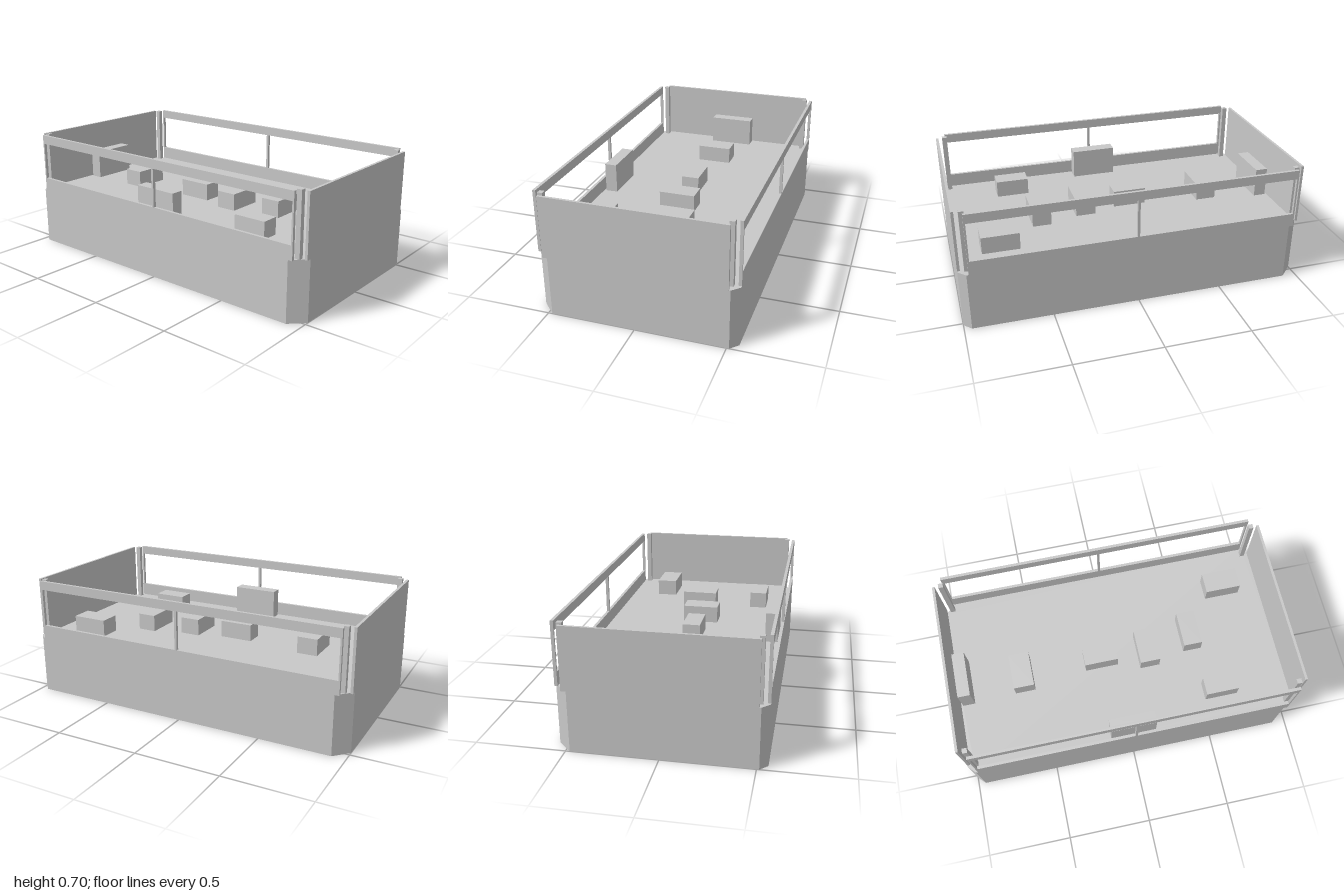
import * as THREE from 'three';

export function createModel() {
  const root = new THREE.Group();
  const grey = new THREE.MeshStandardMaterial({ color: 0xc8c8c8 });
  grey.name = 'lightGrey';

  const FLOOR = 0.345, TOP = 0.703, W = 0.557;

  function add(name, geometry) {
    const mesh = new THREE.Mesh(geometry, grey);
    mesh.name = name;
    root.add(mesh);
    return mesh;
  }

  // Box given by its limits on each axis
  function box(name, x0, x1, y0, y1, z0, z1) {
    const mesh = add(name, new THREE.BoxGeometry(x1 - x0, y1 - y0, z1 - z0));
    mesh.position.set((x0 + x1) / 2, (y0 + y1) / 2, (z0 + z1) / 2);
  }

  // Solid base: two small and two large corner chamfers, diagonally opposed
  const s = 0.043, b = 0.08;
  const outline = new THREE.Shape([
    [-W + b, -1], [W - s, -1], [W, -1 + s], [W, 1 - b],
    [W - b, 1], [-W + s, 1], [-W, 1 - s], [-W, -1 + b],
  ].map(([x, y]) => new THREE.Vector2(x, y)));
  const base = new THREE.ExtrudeGeometry(outline, { depth: FLOOR, bevelEnabled: false });
  base.rotateX(-Math.PI / 2);
  add('base', base);

  // End walls
  box('frontWall', -0.505, 0.505, FLOOR, 0.7, 0.985, 1);
  box('backWall', -0.505, 0.505, FLOOR, 0.7, -1, -0.985);

  // Side walls: a frame with two window openings split by a mullion
  const rect = (x0, x1, y0, y1) => [
    new THREE.Vector2(x0, y0), new THREE.Vector2(x1, y0),
    new THREE.Vector2(x1, y1), new THREE.Vector2(x0, y1),
  ];
  const frame = new THREE.Shape(rect(-0.945, 0.945, FLOOR, TOP));
  for (const [a, c] of [[-0.935, -0.015], [-0.001, 0.935]]) {
    frame.holes.push(new THREE.Path(rect(a, c, 0.425, 0.65).reverse()));
  }
  const sideWall = new THREE.ExtrudeGeometry(frame, { depth: 0.017, bevelEnabled: false });
  sideWall.rotateY(-Math.PI / 2).scale(1, 1, 1);
  // After turning, the shape's x runs along z and the depth along -x
  sideWall.translate(0.017, 0, 0);
  const mullionShift = 0.016;
  add('leftWall', sideWall).position.set(W - 0.017, 0, 0);
  add('rightWall', sideWall).position.set(-W, 0, 0);
  // Move the mullion slightly forward of centre
  const p = sideWall.attributes.position;
  for (let i = 0; i < p.count; i++) {
    if (Math.abs(p.getZ(i)) < 0.1) p.setZ(i, p.getZ(i) + mullionShift);
  }

  // Corner posts
  for (const x of [-1, 1]) {
    for (const z of [-1, 1]) {
      box('cornerPost', x * 0.505 - 0.014, x * 0.505 + 0.014, FLOOR, TOP,
        z * 0.949 - 0.014, z * 0.949 + 0.014);
    }
  }

  // Blocks on the floor: x range, z range, top height
  const LOW = 0.445, TALL = 0.522;
  const blocks = [
    [-0.138, 0.135, -0.973, -0.9, TALL],
    [-0.527, -0.455, -0.138, 0.133, TALL],
    [-0.127, 0.086, -0.648, -0.526, LOW],
    [-0.073, 0.032, -0.202, -0.002, LOW],
    [-0.127, 0.086, 0.13, 0.25, LOW],
    [-0.074, 0.143, 0.414, 0.526, LOW],
    [-0.405, -0.3, 0.472, 0.668, LOW],
    [0.244, 0.368, 0.637, 0.852, LOW],
  ];
  for (const [x0, x1, z0, z1, h] of blocks) {
    box(h === TALL ? 'tallBlock' : 'lowBlock', x0, x1, FLOOR, h, z0, z1);
  }

  return root;
}
